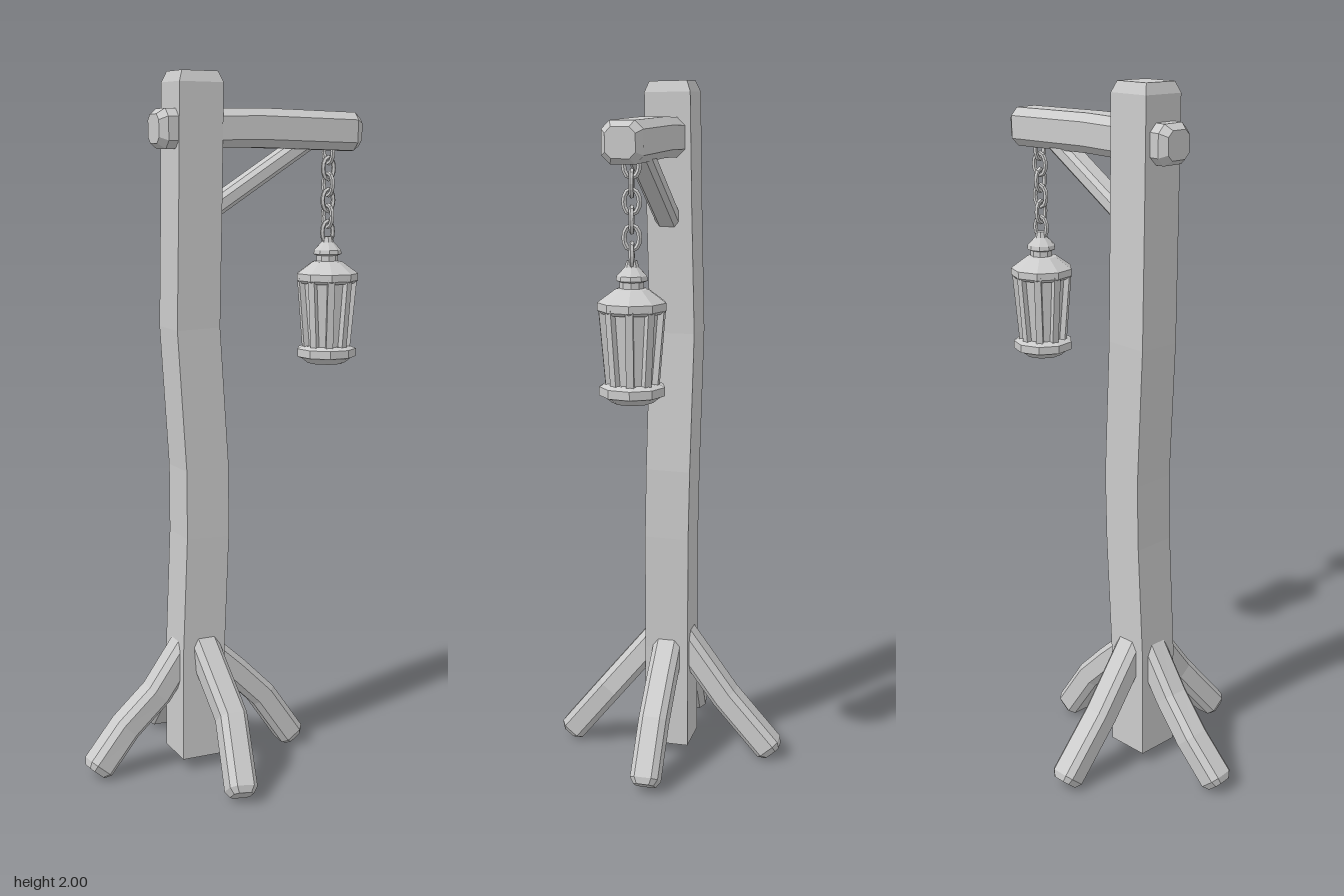
import * as THREE from 'three';

const material = new THREE.MeshStandardMaterial({ color: 0xcccccc, flatShading: true, side: THREE.DoubleSide });
const vec = (p) => new THREE.Vector3(...p);

function mesh(name, geometry, parent) {
  const m = new THREE.Mesh(geometry, material);
  m.name = name;
  parent.add(m);
  return m;
}

// Rectangle section with cut corners, counter-clockwise
function section(w, h, cut) {
  const a = w / 2, b = h / 2, c = cut;
  if (!c) return [[a, -b], [a, b], [-a, b], [-a, -b]];
  return [[a, -b + c], [a, b - c], [a - c, b], [-a + c, b], [-a, b - c], [-a, -b + c], [-a + c, -b], [a - c, -b]];
}

// Timber: a section swept along a path, with optional bevelled start and end
function timber(points, sideAxis, profile, bevelStart, bevelEnd, shrink = 0.72) {
  const path = points.map(vec);
  const last = path.length - 1;
  const rings = [];
  path.forEach((p, i) => {
    const t = path[Math.min(i + 1, last)].clone().sub(path[Math.max(i - 1, 0)]).normalize();
    const side = vec(sideAxis).addScaledVector(t, -vec(sideAxis).dot(t)).normalize();
    const up = t.clone().cross(side);
    const ring = (shift, s) => rings.push(profile.map(([u, v]) =>
      p.clone().addScaledVector(t, shift).addScaledVector(side, u * s).addScaledVector(up, v * s)));
    if (i === 0 && bevelStart) ring(0, shrink);
    ring(i === 0 ? bevelStart : i === last ? -bevelEnd : 0, 1);
    if (i === last && bevelEnd) ring(0, shrink);
  });
  const n = profile.length, index = [];
  for (let r = 0; r < rings.length - 1; r++) {
    for (let j = 0; j < n; j++) {
      const a = r * n + j, b = r * n + (j + 1) % n;
      index.push(a, b, b + n, a, b + n, a + n);
    }
  }
  const top = (rings.length - 1) * n;
  for (let j = 1; j < n - 1; j++) index.push(0, j + 1, j, top, top + j, top + j + 1);
  const g = new THREE.BufferGeometry().setFromPoints(rings.flat());
  g.setIndex(index);
  const flat = g.toNonIndexed();
  flat.computeVertexNormals();
  return flat;
}

// Nine-sided turned part with a corner at the back
function turned(name, profile, parent) {
  const g = new THREE.LatheGeometry(profile.map(([r, y]) => new THREE.Vector2(r, y)), 9);
  g.rotateY(Math.PI);
  return mesh(name, g, parent);
}

// Elongated chain link
function linkGeometry() {
  const pts = [];
  for (let i = 0; i < 10; i++) {
    const a = (i / 10) * Math.PI * 2;
    pts.push(new THREE.Vector3(Math.cos(a) * 0.02, Math.sin(a) * 0.032, 0));
  }
  return new THREE.TubeGeometry(new THREE.CatmullRomCurve3(pts, true), 12, 0.0068, 5, true);
}

export function createModel() {
  const root = new THREE.Group();
  root.name = 'lanternPost';

  // Crooked square post
  mesh('post', timber([
    [-0.095, 0.04, 0], [-0.093, 0.35, 0], [-0.077, 0.7, -0.004], [-0.076, 0.9, -0.008],
    [-0.1, 1.3, -0.014], [-0.097, 1.65, -0.006], [-0.095, 2, 0],
  ], [1, 0, 0], section(0.13, 0.13, 0), 0, 0.03, 0.82), root);

  // Cross beam and its diagonal brace
  mesh('beam', timber([[-0.212, 1.845, 0.004], [0.1, 1.85, 0.004], [0.416, 1.842, 0.006]],
    [0, 0, 1], section(0.11, 0.108, 0.022), 0.022, 0.022), root);
  mesh('brace', timber([[-0.06, 1.615, 0], [0.28, 1.83, 0]],
    [0, 0, 1], section(0.066, 0.05, 0.012), 0, 0), root);

  // Four bent root-like legs
  const legs = {
    rightLeg: { side: [0, 0, 1], path: [[-0.1, 0.4, 0], [-0.215, 0.235, -0.002], [-0.31, 0.14, -0.012], [-0.41, 0.025, 0]] },
    leftLeg: { side: [0, 0, 1], path: [[-0.09, 0.38, 0], [0.03, 0.27, 0], [0.12, 0.18, 0], [0.227, 0.025, 0]] },
    frontLeg: { side: [1, 0, 0], path: [[-0.088, 0.4, 0.015], [-0.06, 0.2, 0.18], [-0.092, 0.025, 0.32]] },
    backLeg: { side: [1, 0, 0], path: [[-0.09, 0.4, -0.015], [-0.09, 0.19, -0.17], [-0.09, 0.025, -0.317]] },
  };
  for (const [name, { side, path }] of Object.entries(legs)) {
    mesh(name, timber(path, side, section(0.082, 0.08, 0.016), 0, 0.018), root);
  }

  // Chain of alternating links
  const chain = new THREE.Group();
  chain.name = 'chain';
  chain.position.set(0.332, 0, 0);
  root.add(chain);
  const link = linkGeometry();
  for (let i = 0; i < 6; i++) {
    const m = mesh('chainLink', link, chain);
    m.position.y = 1.785 - i * 0.0455;
    m.rotation.y = i % 2 ? 0.2 : Math.PI / 2 + 0.2;
  }

  // Lantern
  const lantern = new THREE.Group();
  lantern.name = 'lantern';
  lantern.position.set(0.332, 0, 0);
  root.add(lantern);
  turned('lanternBase', [[0, 1.175], [0.055, 1.175], [0.074, 1.19], [0.088, 1.195], [0.088, 1.218], [0.07, 1.226], [0, 1.226]], lantern);
  turned('lanternPanes', [[0.058, 1.22], [0.074, 1.425]], lantern);
  turned('lanternRoof', [[0, 1.41], [0.083, 1.41], [0.091, 1.418], [0.091, 1.438], [0.044, 1.472], [0.032, 1.474],
    [0.032, 1.49], [0.042, 1.494], [0.04, 1.506], [0.019, 1.528], [0.014, 1.545], [0, 1.545]], lantern);

  // Slanted bars at the corners of the panes
  for (let i = 0; i < 9; i++) {
    const a = Math.PI + (i / 9) * Math.PI * 2;
    const at = (r, y) => [Math.sin(a) * r, y, Math.cos(a) * r];
    mesh('lanternBar', timber([at(0.062, 1.215), at(0.08, 1.425)],
      [Math.cos(a), 0, -Math.sin(a)], section(0.02, 0.016, 0), 0, 0), lantern);
  }
  return root;
}
